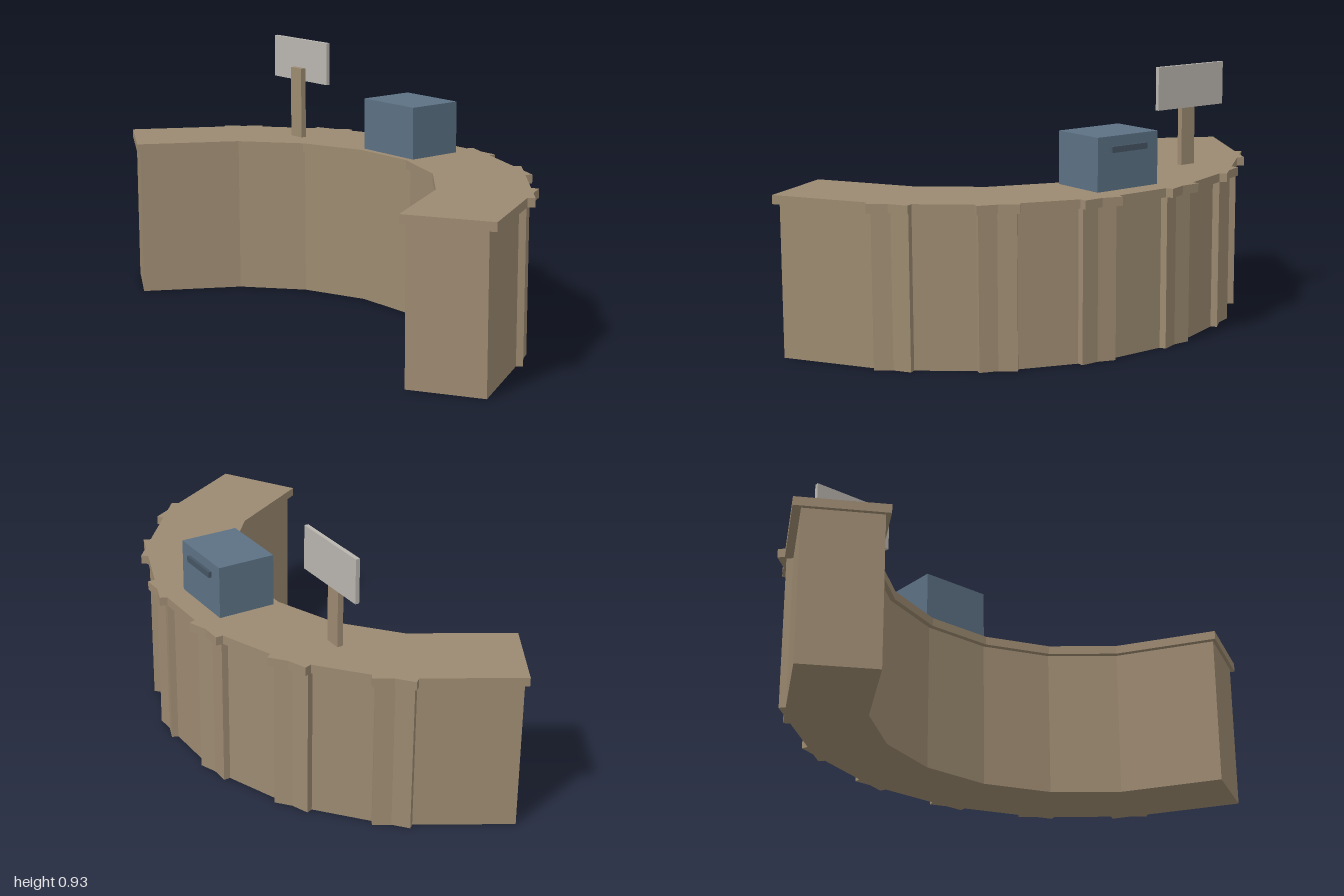
import * as THREE from 'three';

export function createModel() {
  const model = new THREE.Group();
  model.name = 'receptionDesk';

  const material = (name, color) => {
    const m = new THREE.MeshStandardMaterial({ color });
    m.name = name;
    return m;
  };
  const wood = material('wood', 0x9c8a71);
  const blue = material('slateBlue', 0x5c7184);
  const darkBlue = material('darkSlate', 0x455564);
  const grey = material('signGrey', 0xb9b5af);

  // Box from its size and centre
  const box = (parent, name, mat, [w, h, d], [x, y, z]) => {
    const mesh = new THREE.Mesh(new THREE.BoxGeometry(w, h, d), mat);
    mesh.name = name;
    mesh.position.set(x, y, z);
    parent.add(mesh);
    return mesh;
  };

  // Curved counter: seven overlapping straight sections fanned about one centre
  const counter = new THREE.Group();
  counter.name = 'counter';
  counter.position.z = 0.584;
  for (let i = -3; i <= 3; i++) {
    const section = new THREE.Group();
    section.name = 'counterSection';
    section.rotation.y = THREE.MathUtils.degToRad(-20 * i);
    box(section, 'counterBase', wood, [0.476, 0.533, 0.267], [0, 0.2665, -0.85]);
    box(section, 'counterTop', wood, [0.5, 0.031, 0.312], [0, 0.5495, -0.855]);
    counter.add(section);
  }
  model.add(counter);

  // Cash box with a pull handle on its back
  const cashBox = new THREE.Group();
  cashBox.name = 'cashBox';
  box(cashBox, 'cashBoxBody', blue, [0.264, 0.186, 0.208], [0, 0.657, -0.243]);
  box(cashBox, 'cashBoxHandle', darkBlue, [0.155, 0.021, 0.011], [0, 0.705, -0.3525]);
  model.add(cashBox);

  // Sign panel carried on a short post
  const sign = new THREE.Group();
  sign.name = 'sign';
  box(sign, 'signPost', wood, [0.062, 0.262, 0.021], [-0.482, 0.694, -0.109]);
  box(sign, 'signPanel', grey, [0.312, 0.155, 0.015], [-0.481, 0.854, -0.126]);
  model.add(sign);

  return model;
}
